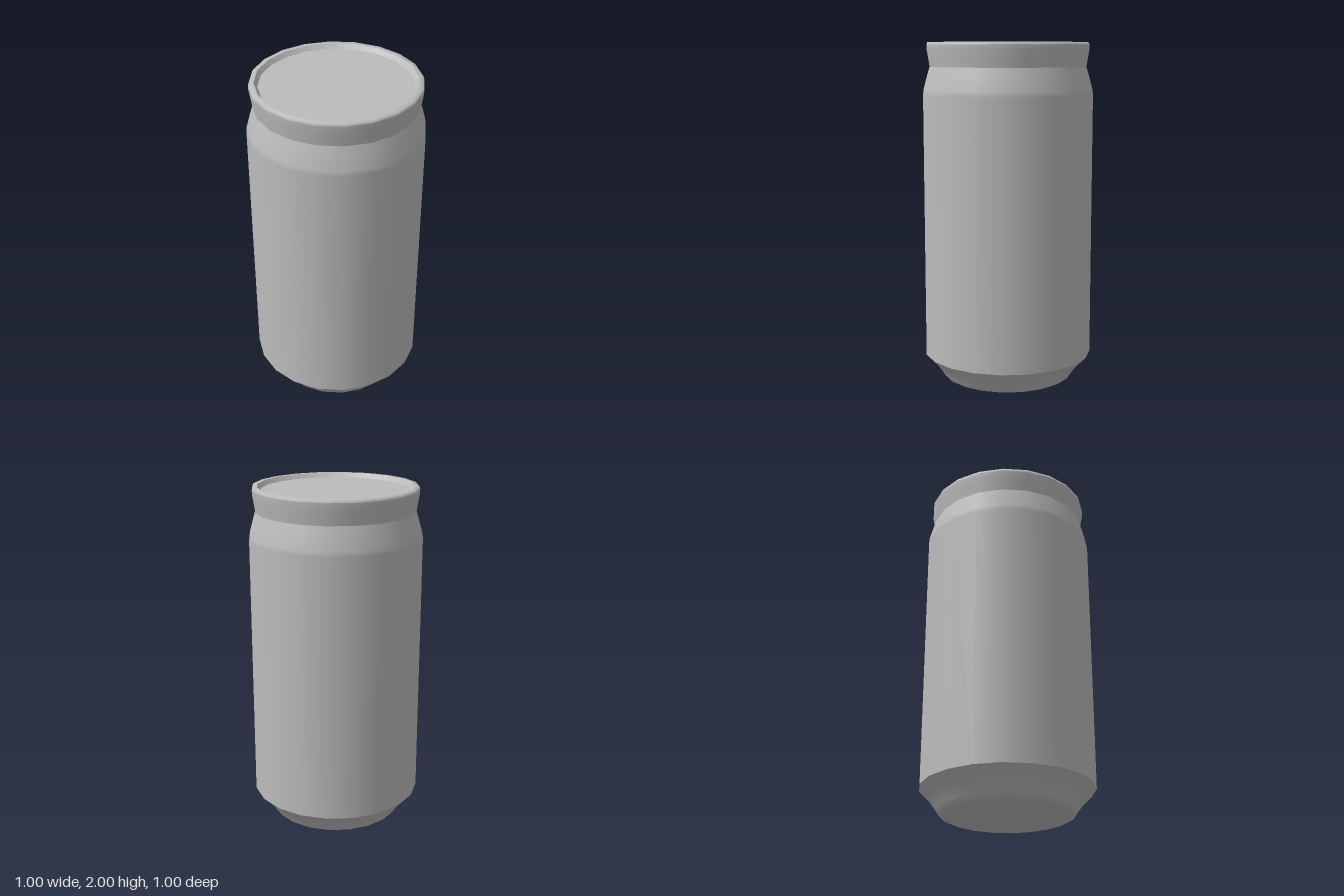
import * as THREE from 'three';

const SIDES = 20;

export function createModel() {
  const can = new THREE.Group();
  can.name = 'drinkCan';
  const aluminium = new THREE.MeshStandardMaterial({ color: 0xbcbcbc });
  aluminium.name = 'aluminium grey';

  // Each part is a turned profile of [radius, height], listed so faces point outward.
  // Separate parts keep the seams between them crisp.
  const turn = (name, profile) => {
    const points = profile.map(([r, y]) => new THREE.Vector2(r, y));
    const mesh = new THREE.Mesh(new THREE.LatheGeometry(points, SIDES), aluminium);
    mesh.name = name;
    can.add(mesh);
  };

  // Flat underside and the tapered foot
  turn('base', [[0, 0], [0.365, 0]]);
  turn('foot', [[0.365, 0], [0.385, 0.01], [0.4, 0.035], [0.44, 0.09], [0.5, 0.15]]);

  // Straight wall rolling into the shoulder
  turn('body', [[0.5, 0.15], [0.5, 1.7], [0.497, 1.73], [0.475, 1.81], [0.46, 1.86]]);

  // Neck flaring out to the rim
  turn('neck', [[0.46, 1.86], [0.466, 1.9], [0.476, 1.96], [0.477, 1.985]]);

  // Rolled rim, inner wall and recessed lid
  turn('rim', [[0.477, 1.985], [0.472, 2], [0.446, 2]]);
  turn('innerWall', [[0.446, 2], [0.427, 1.975]]);
  turn('lid', [[0.427, 1.975], [0, 1.975]]);

  return can;
}
